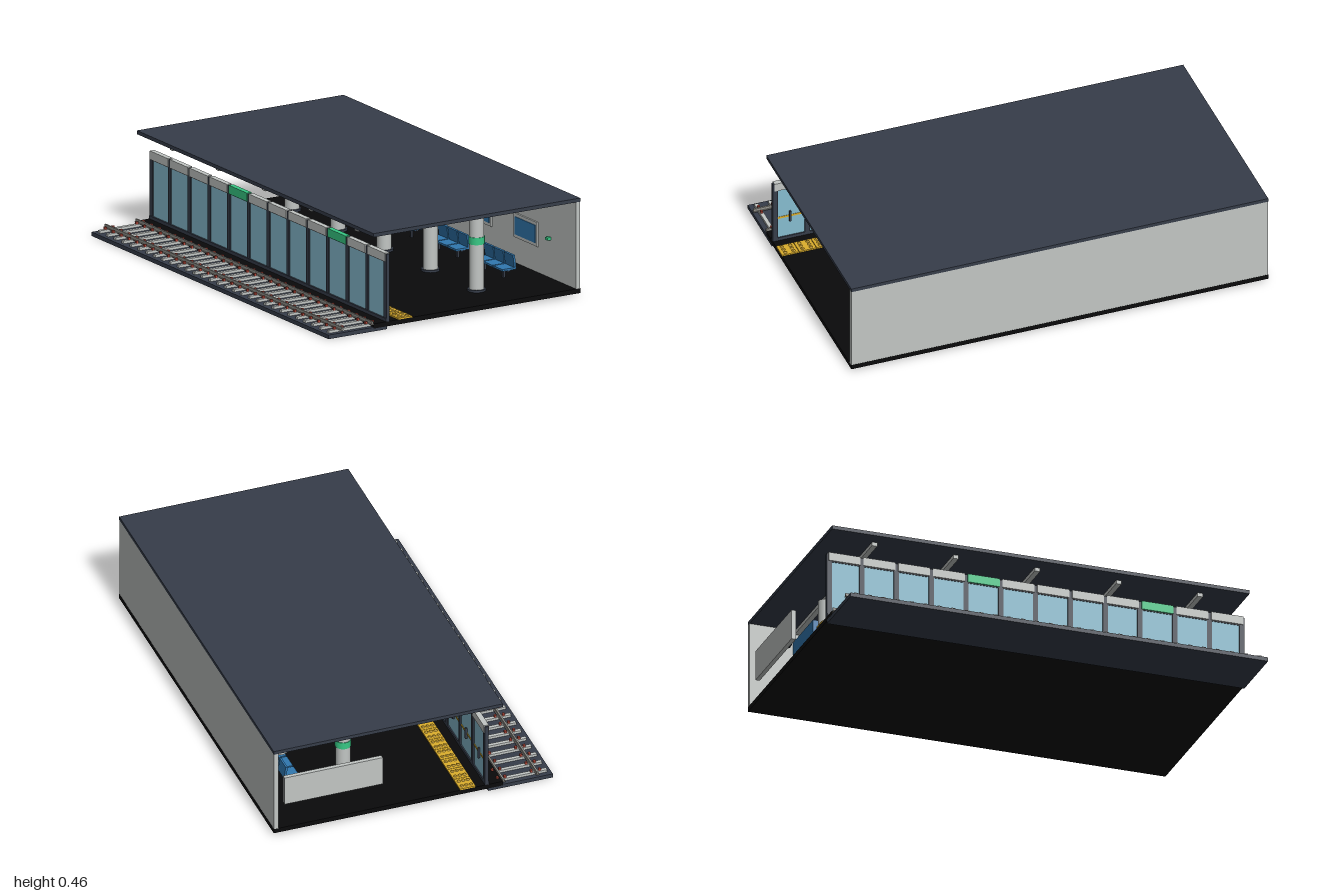
import * as THREE from 'three';

const mat = (name, color) => {
  const m = new THREE.MeshStandardMaterial({ color });
  m.name = name;
  return m;
};

export function createModel() {
  const slate = mat('slate', 0x363d4a);
  const grey = mat('lightGrey', 0xc2c6c4);
  const black = mat('floorBlack', 0x0a0a0b);
  const steel = mat('railSteel', 0x96958f);
  const rust = mat('rustRed', 0xb5483a);
  const blue = mat('signBlue', 0x3178b0);
  const green = mat('green', 0x37c985);
  const yellow = mat('yellow', 0xdcae2c);
  const glass = mat('glass', 0x86bccf);

  const model = new THREE.Group();
  model.name = 'stationPlatform';

  const group = (name, parent = model) => {
    const g = new THREE.Group();
    g.name = name;
    parent.add(g);
    return g;
  };
  const add = (name, geo, material, x, y, z, parent = model) => {
    const m = new THREE.Mesh(geo, material);
    m.name = name;
    m.position.set(x, y, z);
    parent.add(m);
    return m;
  };
  // box given by its lower and upper limits on each axis
  const box = (name, material, [x0, x1], [y0, y1], [z0, z1], parent) =>
    add(name, new THREE.BoxGeometry(x1 - x0, y1 - y0, z1 - z0), material,
      (x0 + x1) / 2, (y0 + y1) / 2, (z0 + z1) / 2, parent);
  const cyl = (name, material, r, y0, y1, x, z, parent, sides = 24) =>
    add(name, new THREE.CylinderGeometry(r, r, y1 - y0, sides), material, x, (y0 + y1) / 2, z, parent);
  const around = (c, w) => [c - w / 2, c + w / 2];

  // shell
  const full = [-1, 1];
  box('roof', slate, [-0.43, 0.668], [0.44, 0.457], full);
  box('floor', black, [-0.43, 0.668], [0.013, 0.035], full);
  box('backWall', grey, [0.645, 0.667], [0.035, 0.44], full);
  box('trackBed', slate, [-0.67, -0.36], [0, 0.019], full);

  // track: sleepers, rails and fastening clips
  const track = group('track');
  for (const x of [-0.598, -0.434]) {
    box('railFoot', steel, around(x, 0.016), [0.03, 0.034], full, track);
    box('rail', steel, around(x, 0.008), [0.034, 0.046], full, track);
  }
  for (let i = 0; i < 30; i++) {
    const z = -0.967 + i * 0.0667;
    box('sleeper', grey, [-0.652, -0.42], [0.019, 0.031], around(z, 0.018), track);
    for (const x of [-0.618, -0.578, -0.452, -0.416])
      box('clip', rust, around(x, 0.011), [0.031, 0.042], around(z, 0.011), track);
  }

  // platform screen doors
  const doors = group('screenDoors');
  const step = 2 / 12;
  box('sill', slate, [-0.365, -0.345], [0.035, 0.05], full, doors);
  box('topRail', slate, [-0.36, -0.346], [0.31, 0.322], full, doors);
  for (let i = 0; i <= 12; i++) {
    const z = Math.min(0.988, Math.max(-0.988, -1 + i * step));
    box('post', slate, [-0.362, -0.345], [0.035, 0.35], around(z, 0.024), doors);
  }
  for (let i = 0; i < 12; i++) {
    const z = -1 + (i + 0.5) * step;
    box('glassPanel', glass, [-0.357, -0.351], [0.05, 0.31], around(z, step - 0.024), doors);
    box('warningStrip', yellow, [-0.351, -0.349], [0.152, 0.162], around(z, step - 0.024), doors);
    box('doorHandle', slate, [-0.351, -0.341], [0.13, 0.185], around(z, 0.008), doors);
    box('header', i % 5 === 4 ? green : grey, [-0.366, -0.341], [0.314, 0.354], around(z, step - 0.014), doors);
  }

  // tactile paving with rounded studs
  const paving = group('tactilePaving');
  const stud = new THREE.CylinderGeometry(0.006, 0.009, 0.005, 8);
  for (let i = 0; i < 24; i++) {
    const z = -0.96 + (i * 1.92) / 23;
    box('tile', yellow, [-0.3, -0.225], [0.035, 0.042], around(z, 0.081), paving);
    for (const dz of [-0.02, 0.02])
      for (const dx of [-0.022, 0, 0.022]) add('stud', stud, yellow, -0.2625 + dx, 0.0445, z + dz, paving);
  }

  // columns and ceiling beams
  for (let i = -2; i <= 2; i++) {
    const z = i * 0.39;
    const c = group('column');
    cyl('shaft', grey, 0.034, 0.035, 0.412, 0.255, z, c);
    cyl('base', slate, 0.042, 0.035, 0.045, 0.255, z, c);
    cyl('band', green, 0.037, 0.256, 0.29, 0.255, z, c);
    box('ceilingBeam', grey, [-0.385, 0.625], [0.41, 0.428], around(z, 0.025));
    box('beamHanger', slate, around(-0.06, 0.2), [0.428, 0.44], around(z, 0.02));
  }
  // ceiling lights
  for (let i = 0; i < 4; i++)
    for (const x of [-0.06, 0.38]) {
      const z = around(-0.585 + i * 0.39, 0.05);
      box('lightHousing', slate, around(x, 0.225), [0.434, 0.44], z);
      box('lightPanel', grey, around(x, 0.2), [0.43, 0.434], z);
    }

  // benches: seat, sloped back and pedestals
  for (let i = 0; i < 4; i++) {
    const z = -0.585 + i * 0.39;
    const b = group('bench');
    for (let k = -1; k <= 1; k++) {
      const zz = around(z + k * 0.085, 0.078);
      box('seat', blue, [0.437, 0.508], [0.078, 0.087], zz, b);
      box('backrest', blue, around(0.502, 0.01), [0.084, 0.146], zz, b).rotation.z = 0.13;
    }
    for (const dz of [-0.08, 0.08]) box('leg', slate, around(0.472, 0.01), [0.035, 0.078], around(z + dz, 0.012), b);
    box('seatBar', slate, around(0.472, 0.02), [0.072, 0.078], around(z, 0.25), b);
  }

  // signs: blue face with a green line towards the front
  const sign = (name, xs, ys, z, stripe, stripeY) => {
    const s = group(name);
    box('signBody', blue, xs, ys, around(z, 0.024), s);
    box('signLine', green, stripe, around(stripeY, 0.01), [z + 0.012, z + 0.015], s);
    return s;
  };
  for (const z of [-0.39, 0.39]) {
    const s = sign('hangingSign', [-0.1, 0.37], [0.32, 0.397], z, [-0.07, 0.342], 0.336);
    for (const x of [-0.045, 0.315]) cyl('signRod', slate, 0.003, 0.395, 0.44, x, z, s, 8);
    s.position.z = 0.06;
  }
  sign('wallSign', [0.385, 0.647], [0.309, 0.379], -0.78, [0.4, 0.62], 0.335);

  // large information board at the far end
  box('boardBody', grey, [0.14, 0.61], [0.147, 0.29], [-0.985, -0.965]);
  box('boardFace', blue, [0.182, 0.568], [0.195, 0.276], [-0.965, -0.961]);
  box('boardLine', green, [0.2, 0.547], [0.212, 0.221], [-0.961, -0.958]);

  // clock with hour marks
  const clock = group('clock');
  clock.position.set(0.573, 0.365, -0.84);
  add('clockFace', new THREE.CylinderGeometry(0.045, 0.045, 0.016, 32), grey, 0, 0, 0, clock).rotation.x = Math.PI / 2;
  add('clockRim', new THREE.TorusGeometry(0.045, 0.003, 8, 32), slate, 0, 0, 0.006, clock);
  for (let i = 0; i < 12; i++) {
    const a = (i * Math.PI) / 6;
    add('hourMark', new THREE.BoxGeometry(0.004, 0.012, 0.003), slate,
      Math.sin(a) * 0.035, Math.cos(a) * 0.035, 0.009, clock).rotation.z = -a;
  }

  // security camera
  const cam = group('securityCamera');
  box('cameraBody', slate, [0.486, 0.53], [0.365, 0.387], [0.55, 0.62], cam);
  box('cameraArm', slate, [0.53, 0.646], [0.374, 0.38], around(0.57, 0.008), cam);
  cyl('cameraStem', slate, 0.003, 0.35, 0.366, 0.507, 0.58, cam, 8);

  // framed panels and a call button on the back wall
  for (let i = 0; i < 4; i++) {
    const z = -0.585 + i * 0.39;
    box('wallPanel', grey, [0.637, 0.645], [0.157, 0.27], around(z, 0.2));
    box('wallPanelFace', blue, [0.634, 0.637], [0.172, 0.255], around(z, 0.17));
  }
  box('callButton', green, [0.626, 0.645], [0.213, 0.226], around(0.78, 0.02));

  return model;
}
